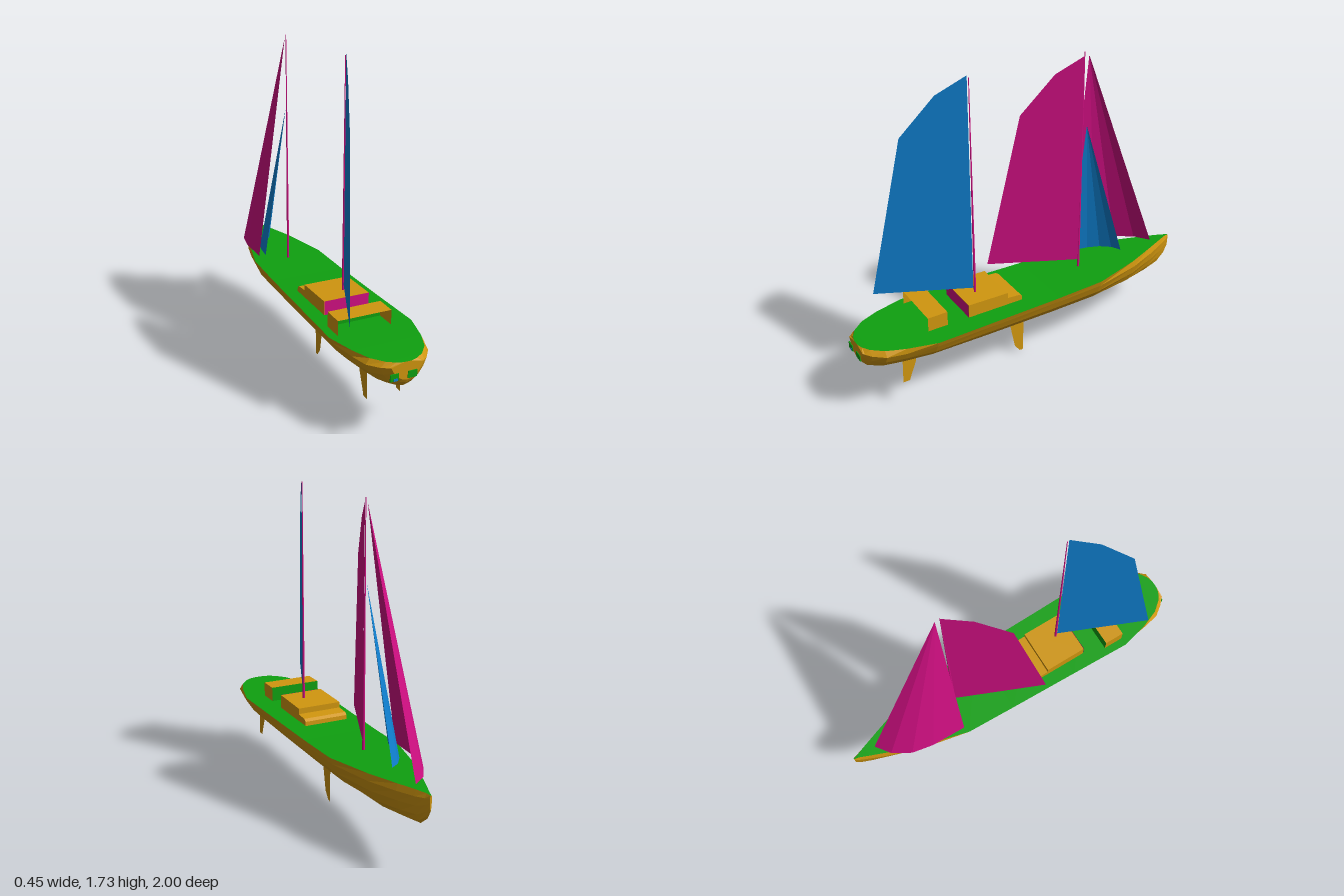
import * as THREE from 'three';

const paint = (name, color) => {
  const m = new THREE.MeshStandardMaterial({ color, side: THREE.DoubleSide });
  m.name = name;
  return m;
};

// Flat-faced mesh from a list of triangles, each made of three [x, y, z] corners
function facets(name, triangles, material) {
  const geometry = new THREE.BufferGeometry();
  geometry.setAttribute('position', new THREE.Float32BufferAttribute(triangles.flat(2), 3));
  geometry.computeVertexNormals();
  const mesh = new THREE.Mesh(geometry, material);
  mesh.name = name;
  return mesh;
}

// Triangle fan around the first point
const fan = (pts) => pts.slice(1, -1).map((p, i) => [pts[0], p, pts[i + 2]]);
// Four corners, counter-clockwise
const quad = (a, b, c, d) => [[a, b, c], [a, c, d]];

export function createModel() {
  const model = new THREE.Group();
  const ochre = paint('ochre', 0xd0960f);
  const green = paint('green', 0x0fa010);
  const blue = paint('blue', 0x0f80d0);
  const magenta = paint('magenta', 0xd00f82);

  // Hull stations: z, half width of deck, half width of topsides, deck y, keel y
  const stations = [
    [-1.0, 0.003, 0.006, 0.445, 0.365],
    [-0.975, 0.008, 0.018, 0.448, 0.32],
    [-0.92, 0.03, 0.042, 0.449, 0.275],
    [-0.82, 0.068, 0.084, 0.447, 0.256],
    [-0.65, 0.13, 0.145, 0.444, 0.238],
    [-0.38, 0.198, 0.2, 0.438, 0.239],
    [-0.1, 0.205, 0.205, 0.435, 0.24],
    [0.3, 0.215, 0.215, 0.439, 0.25],
    [0.64, 0.225, 0.225, 0.444, 0.264],
    [0.8, 0.185, 0.2, 0.446, 0.275],
    [0.9, 0.145, 0.178, 0.446, 0.286],
    [0.96, 0.095, 0.13, 0.446, 0.302],
    [0.985, 0.055, 0.1, 0.445, 0.33],
    [0.995, 0.02, 0.09, 0.444, 0.35],
  ];
  // Section below deck level: fraction of half width, fraction of depth
  const profile = [[0.93, 0.18], [0.81, 0.45], [0.6, 0.72], [0.33, 0.91]];
  const sections = stations.map(([z, deck, side, top, keel]) => {
    const half = [[deck, top], ...profile.map(([w, d]) => [side * w, top - (top - keel) * d])];
    return [
      ...half.map(([x, y]) => [x, y, z]),
      [0, keel, z],
      ...half.reverse().map(([x, y]) => [-x, y, z]),
    ];
  });
  const hull = [];
  const deck = [];
  const last = sections[0].length - 1;
  for (let i = 0; i < sections.length - 1; i++) {
    const a = sections[i];
    const b = sections[i + 1];
    for (let j = 0; j < last; j++) hull.push(...quad(a[j], b[j], b[j + 1], a[j + 1]));
    deck.push(...quad(a[last], b[last], b[0], a[0]));
  }
  hull.push(...fan(sections[0]), ...fan([...sections[sections.length - 1]].reverse()));
  model.add(facets('hull', hull, ochre), facets('deck', deck, green));

  // Stern windows
  for (const [x, w] of [[-0.068, 0.045], [0.026, 0.048]]) {
    const pane = new THREE.Mesh(new THREE.BoxGeometry(w, 0.036, 0.006), green);
    pane.position.set(x, 0.376, 0.996);
    pane.name = 'sternWindow';
    model.add(pane);
  }
  const lowPane = new THREE.Mesh(new THREE.BoxGeometry(0.022, 0.014, 0.004), blue);
  lowPane.position.set(-0.062, 0.364, 0.998);
  lowPane.name = 'sternWindowPane';
  model.add(lowPane);

  // Main cabin with a low forward step, extruded across the boat
  const outline = [[0.405, 0.43], [0.405, 0.516], [0.168, 0.509], [0.168, 0.477],
    [0.1, 0.472], [0.082, 0.46], [0.08, 0.43]];
  const cabinShape = new THREE.Shape(outline.map(([z, y]) => new THREE.Vector2(-z, y)));
  const cabinGeometry = new THREE.ExtrudeGeometry(cabinShape, { depth: 0.25, bevelEnabled: false });
  cabinGeometry.rotateY(Math.PI / 2).translate(-0.14, 0, 0);
  const cabin = new THREE.Mesh(cabinGeometry, ochre);
  cabin.name = 'mainCabin';
  model.add(cabin);
  const bulkhead = quad([-0.14, 0.43, 0.407], [0.11, 0.43, 0.407],
    [0.11, 0.516, 0.407], [-0.14, 0.516, 0.407]);
  model.add(facets('mainCabinBulkhead', bulkhead, magenta));

  // Aft shelter: roof and sides, green forward wall, open towards the stern
  const [l, r, lo, hi, fore, aft] = [-0.18, 0.11, 0.435, 0.523, 0.53, 0.642];
  model.add(facets('aftShelter', [
    ...quad([l, hi, fore], [l, hi, aft], [r, hi, aft], [r, hi, fore]),
    ...quad([r, lo, aft], [r, lo, fore], [r, hi, fore], [r, hi, aft]),
    ...quad([l, lo, fore], [l, lo, aft], [l, hi, aft], [l, hi, fore]),
  ], ochre));
  model.add(facets('aftShelterWall',
    quad([r, lo, fore], [l, lo, fore], [l, hi, fore], [r, hi, fore]), green));

  // Flat underwater blades in the z-y plane
  const blade = (name, x, pts) =>
    model.add(facets(name, fan(pts.map(([z, y]) => [x, y, z])), ochre));
  blade('keel', 0, [[0.102, 0.25], [0.062, 0.045], [0.03, 0.003], [0.01, 0], [0.002, 0.25]]);
  for (const x of [-0.095, 0.085]) {
    blade('rudder', x, [[0.785, 0.32], [0.79, 0.158], [0.752, 0.158], [0.743, 0.185],
      [0.71, 0.27], [0.71, 0.32]]);
  }

  // Tapered masts
  for (const [name, x, z, foot, head] of [
    ['mainMast', -0.004, -0.36, 0.43, 1.71],
    ['mizzenMast', 0.011, 0.313, 0.44, 1.72],
  ]) {
    const mast = new THREE.Mesh(new THREE.CylinderGeometry(0.002, 0.007, head - foot, 8), magenta);
    mast.position.set(x, (foot + head) / 2, z);
    mast.name = name;
    model.add(mast);
  }

  // Flat sails swung out to the right of each mast
  const boomSail = (name, x, z0, pts, material) =>
    model.add(facets(name, fan(pts.map(([z, y]) => [x - (z - z0) * 0.43, y, z])), material));
  boomSail('mainSail', 0, -0.358,
    [[-0.358, 0.485], [0.115, 0.5], [-0.055, 1.385], [-0.22, 1.6], [-0.358, 1.69]], magenta);
  boomSail('mizzenSail', 0.01, 0.322,
    [[0.322, 0.54], [0.802, 0.553], [0.63, 1.43], [0.465, 1.64], [0.322, 1.732]], blue);

  // Bellied headsails: a fan from the head to a curved foot
  const headSail = (name, head, foot, material) =>
    model.add(facets(name, fan([[0, head, -0.385], ...foot]), material));
  headSail('jib', 1.69, [[0, 0.448, -0.87], [-0.08, 0.449, -0.81], [-0.14, 0.452, -0.71],
    [-0.163, 0.455, -0.59], [-0.167, 0.46, -0.395]], magenta);
  headSail('staySail', 1.3, [[0, 0.45, -0.655], [-0.05, 0.452, -0.625], [-0.09, 0.454, -0.57],
    [-0.115, 0.456, -0.5], [-0.13, 0.46, -0.39]], blue);

  return model;
}
